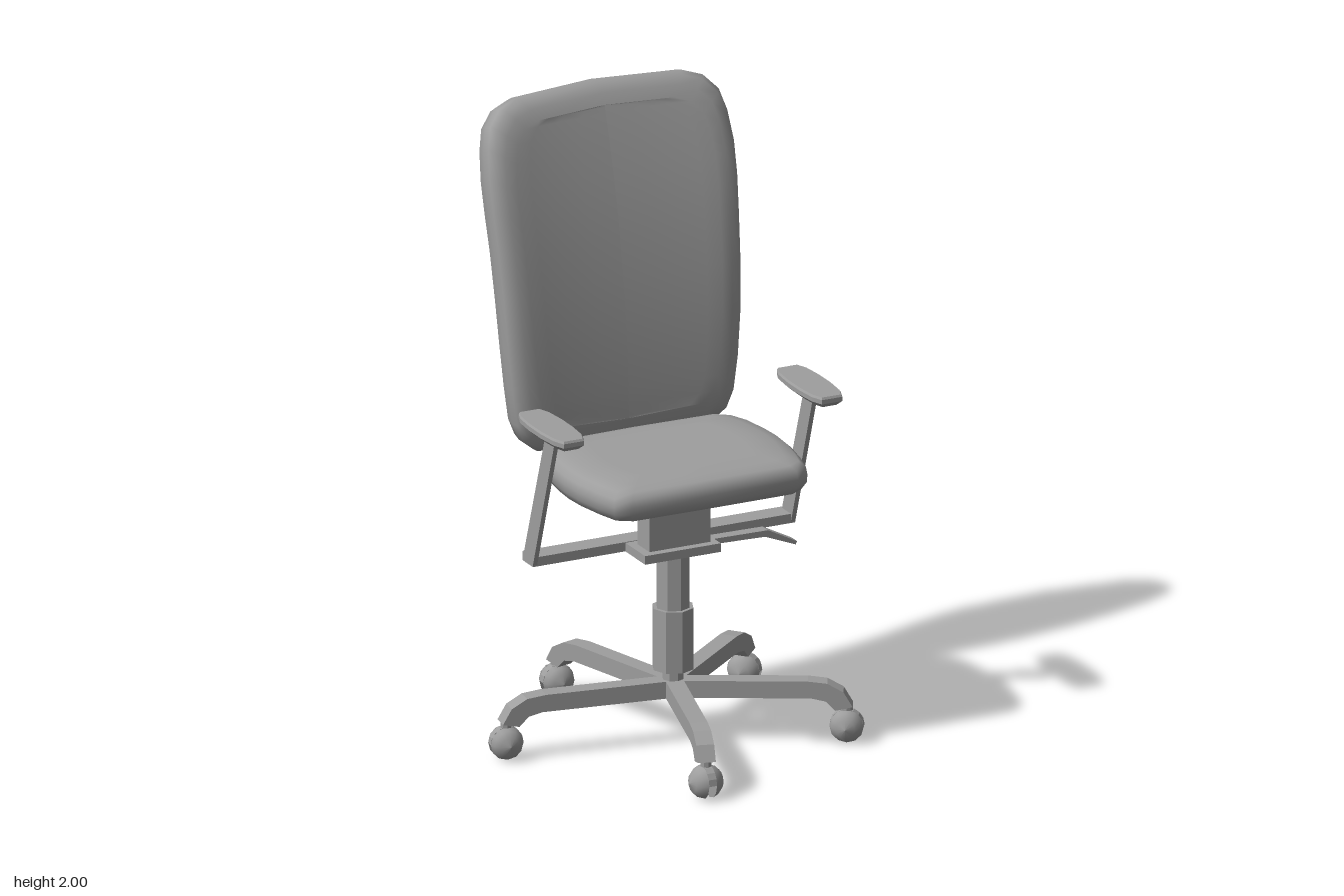
import * as THREE from 'three';

const GREY = 0x9e9e9e;
const smooth = new THREE.MeshStandardMaterial({ color: GREY });
const flat = new THREE.MeshStandardMaterial({ color: GREY, flatShading: true });
const thin = new THREE.MeshStandardMaterial({ color: GREY, flatShading: true, side: THREE.DoubleSide });

function add(parent, name, geometry, material, x = 0, y = 0, z = 0) {
  const mesh = new THREE.Mesh(geometry, material);
  mesh.name = name;
  mesh.position.set(x, y, z);
  parent.add(mesh);
  return mesh;
}

// Thick slab from a side profile in (u, v), centred across its width
function slab(points, width) {
  const shape = new THREE.Shape(points.map(p => new THREE.Vector2(...p)));
  return new THREE.ExtrudeGeometry(shape, { depth: width, bevelEnabled: false }).translate(0, 0, -width / 2);
}

// Right half of an outline (bottom to top) closed by its mirror image
function mirrored(half) {
  const left = half.filter(p => p[0] > 0).reverse().map(([u, v]) => [-u, v]);
  return [...half, ...left];
}

// Cushion: rings of one mirrored outline, each layer [w, inset]; both faces close towards the centre line
function cushion(outline, layers, place) {
  const ru = Math.max(...outline.map(p => Math.abs(p[0])));
  const rv = Math.max(...outline.map(p => Math.abs(p[1])));
  const first = layers[0], last = layers[layers.length - 1];
  const rings = [
    ...[0, 0.3, 0.6, 0.85].map(s => [...first, s]),
    ...layers.map(l => [...l, 1]),
    ...[0.85, 0.6, 0.3, 0].map(s => [...last, s]),
  ];
  const n = outline.length, pos = [], index = [];
  rings.forEach(([w, inset, s], i) => {
    outline.forEach(([u, v], j) => {
      pos.push(...place(u * s * (1 - inset / ru), v * (1 - inset / rv), w));
      if (i === rings.length - 1) return;
      const a = i * n + j, b = i * n + (j + 1) % n;
      index.push(a, b, b + n, a, b + n, a + n);
    });
  });
  const g = new THREE.BufferGeometry();
  g.setAttribute('position', new THREE.Float32BufferAttribute(pos, 3));
  g.setIndex(index);
  g.computeVertexNormals();
  return g;
}

// Ball caster: two half balls with a slot between them, hood and stem
function makeCaster() {
  const caster = new THREE.Group();
  caster.name = 'caster';
  const profile = [[0, 0.013], [0.053, 0.013], [0.053, 0.013], [0.046, 0.03], [0.03, 0.046], [0, 0.055]];
  const half = new THREE.LatheGeometry(profile.map(p => new THREE.Vector2(...p)), 12);
  for (const side of [1, -1]) {
    add(caster, 'casterHalf', half, smooth, 0, 0.055, 0).rotation.x = side * Math.PI / 2;
  }
  const hood = new THREE.CylinderGeometry(0.053, 0.053, 0.026, 8, 1, false, -Math.PI / 2, Math.PI).rotateX(-Math.PI / 2);
  add(caster, 'casterHood', hood, thin, 0, 0.055, 0);
  add(caster, 'casterStem', new THREE.CylinderGeometry(0.018, 0.018, 0.026, 8), flat, 0, 0.109, 0);
  return caster;
}

export function createModel() {
  const chair = new THREE.Group();
  chair.name = 'officeChair';
  const cx = 0.032, cz = 0.008;

  // Five-legged base: foot x, z and caster swivel
  const feet = [[0.45, -0.335, -1.47], [-0.5, -0.075, 0], [0.505, 0.255, -0.1], [-0.11, 0.515, 0.25], [-0.107, -0.51, 1.3]];
  for (const [x, z, swivel] of feet) {
    const leg = new THREE.Group();
    leg.name = 'baseLeg';
    leg.position.set(cx, 0, cz);
    leg.rotation.y = -Math.atan2(z - cz, x - cx);
    const L = Math.hypot(x - cx, z - cz);
    add(leg, 'legBeam', slab([[0, 0.15], [L - 0.11, 0.15], [L - 0.065, 0.14], [L - 0.035, 0.11],
      [L + 0.018, 0.122], [L - 0.01, 0.17], [L - 0.06, 0.198], [L - 0.12, 0.205], [0, 0.205]], 0.056), flat);
    const caster = makeCaster();
    caster.position.x = L;
    caster.rotation.y = swivel;
    leg.add(caster);
    chair.add(leg);
  }

  // Gas column
  for (const [name, r, y0, y1] of [['columnFoot', 0.034, 0.15, 0.24], ['columnSleeve', 0.066, 0.24, 0.44], ['columnTube', 0.054, 0.44, 0.625]]) {
    add(chair, name, new THREE.CylinderGeometry(r, r, y1 - y0, 8), flat, cx, (y0 + y1) / 2, cz);
  }

  // Seat mechanism and height lever
  add(chair, 'mechanismPlate', new THREE.BoxGeometry(0.26, 0.028, 0.137), flat, 0.032, 0.631, 0.008);
  add(chair, 'seatBlock', new THREE.BoxGeometry(0.21, 0.21, 0.08), flat, 0.035, 0.748, 0.01);
  add(chair, 'heightLever', slab([[0.15, 0.625], [0.34, 0.62], [0.445, 0.578], [0.45, 0.588], [0.35, 0.64], [0.15, 0.642]], 0.038), flat, 0, 0, 0.005);

  // Armrest frame and pads
  add(chair, 'armCrossbar', new THREE.BoxGeometry(0.9, 0.03, 0.072), flat, 0.035, 0.632, -0.095);
  const upright = slab([[-0.095, 1.085], [-0.03, 1.085], [0.13, 0.618], [0.06, 0.618]].reverse(), 0.015).rotateY(Math.PI / 2);
  const padOutline = mirrored([[0.035, -0.154], [0.05, -0.115], [0.057, -0.04], [0.057, 0.04], [0.05, 0.115], [0.035, 0.154]]);
  const pad = cushion(padOutline, [[-0.018, 0.018], [-0.002, 0], [0.012, 0], [0.019, 0.004]], (u, v, w) => [u, w, -v]);
  for (const side of [1, -1]) {
    add(chair, side > 0 ? 'leftArmUpright' : 'rightArmUpright', upright, flat, 0.035 + side * 0.443, 0, 0);
    add(chair, side > 0 ? 'leftArmPad' : 'rightArmPad', pad, flat, 0.035 + side * 0.443, 1.096, 0.053);
  }

  // Seat cushion
  const seatOutline = mirrored([[0, -0.288], [0.285, -0.286], [0.332, -0.255], [0.352, -0.18], [0.37, -0.08], [0.375, 0],
    [0.37, 0.08], [0.355, 0.18], [0.33, 0.245], [0.285, 0.28], [0, 0.287]]);
  const seatLayers = [[-0.058, 0.045], [-0.049, 0.016], [-0.025, 0.002], [0, 0], [0.025, 0.004], [0.042, 0.022], [0.052, 0.06], [0.058, 0.11]];
  add(chair, 'seat', cushion(seatOutline, seatLayers, (u, v, w) => [u, w, -v]), smooth, 0.035, 0.895, 0.005);

  // Backrest, leaning back towards the top and wrapping forward at the sides
  const backOutline = mirrored([[0, -0.555], [0.3, -0.545], [0.35, -0.505], [0.373, -0.45], [0.388, -0.34], [0.4, -0.2],
    [0.408, -0.05], [0.414, 0.1], [0.42, 0.22], [0.421, 0.32], [0.412, 0.41], [0.394, 0.475], [0.35, 0.52], [0.285, 0.54], [0, 0.548]]);
  const backLayers = [[-0.066, 0.05], [-0.06, 0.025], [-0.04, 0.006], [0, 0], [0.03, 0.002], [0.05, 0.016], [0.062, 0.045], [0.067, 0.08]];
  add(chair, 'backrest', cushion(backOutline, backLayers, (u, v, w) => {
    const t = Math.max(0, (v + 0.49) / 0.97);
    const bow = (0.015 + 0.025 * t) * (u / 0.4) ** 2;
    return [u, v + w * 0.37 * t, w + bow - 0.333 - 0.17 * t * t];
  }), smooth, 0.018, 1.44, 0);

  return chair;
}
